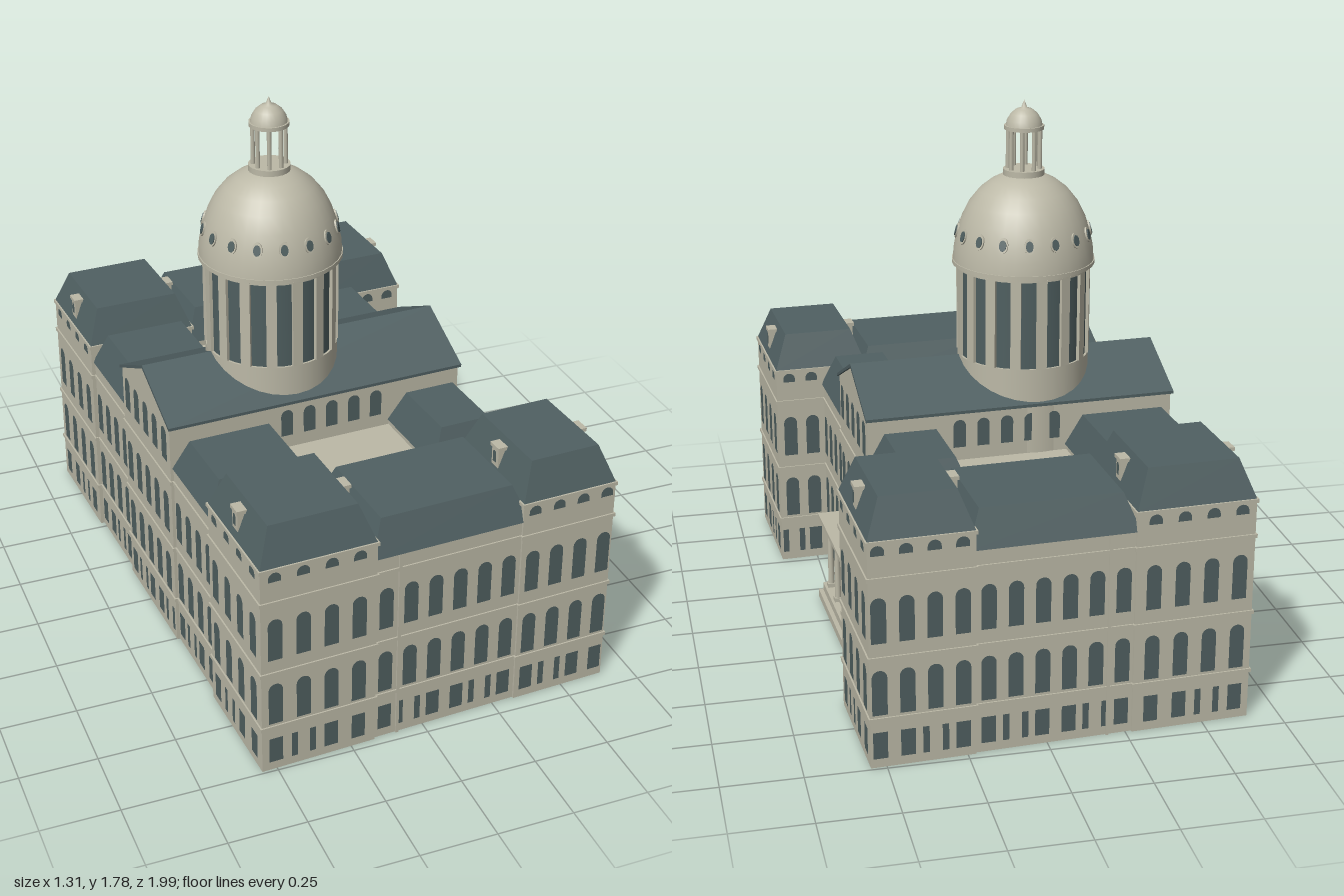
import * as THREE from 'three';
import { mergeGeometries } from 'three/addons/utils/BufferGeometryUtils.js';

const mat = (name, color, side = THREE.FrontSide) => {
  const m = new THREE.MeshStandardMaterial({ color, side });
  m.name = name;
  return m;
};

export function createModel() {
  const stone = mat('stone', 0xbcb9a7);
  const slate = mat('slate', 0x506062);
  const glass = mat('glass', 0x4f5f60, THREE.DoubleSide);
  const model = new THREE.Group();
  const building = new THREE.Group();
  building.name = 'building';
  building.rotation.y = 0.0523;
  model.add(building);

  const add = (name, geo, material) => {
    const m = new THREE.Mesh(geo, material);
    m.name = name;
    building.add(m);
    return m;
  };
  // box given by its limits
  const box = (x0, x1, y0, y1, z0, z1) =>
    new THREE.BoxGeometry(x1 - x0, y1 - y0, z1 - z0).translate((x0 + x1) / 2, (y0 + y1) / 2, (z0 + z1) / 2);
  // hipped roof with a flat top
  const hip = (x0, x1, y0, y1, z0, z1, inset) => {
    const g = box(x0, x1, y0, y1, z0, z1), p = g.attributes.position;
    const cx = (x0 + x1) / 2, cz = (z0 + z1) / 2;
    for (let i = 0; i < p.count; i++) {
      if (p.getY(i) < y1 - 1e-4) continue;
      p.setX(i, p.getX(i) - Math.sign(p.getX(i) - cx) * inset);
      p.setZ(i, p.getZ(i) - Math.sign(p.getZ(i) - cz) * inset);
    }
    g.computeVertexNormals();
    return g;
  };
  const row = (start, step, n) => Array.from({ length: n }, (_, i) => start + step * i);

  // window panes: u runs along the wall, off is the wall's distance from the centre
  const panes = [];
  const pane = (angle, off, u, y0, y1, w, arched = true) => {
    const s = new THREE.Shape(), r = w / 2;
    s.moveTo(-r, y0);
    s.lineTo(r, y0);
    if (arched) {
      s.lineTo(r, y1 - r);
      s.absarc(0, y1 - r, r, 0, Math.PI, false);
    } else {
      s.lineTo(r, y1);
      s.lineTo(-r, y1);
    }
    panes.push(new THREE.ShapeGeometry(s, 5).translate(u, 0, off + 0.002).rotateY(angle));
  };
  const facade = (angle, off, list, attic) => list.forEach((u, i) => {
    if (i % 3 === 1) for (const d of [-0.03, 0.03]) pane(angle, off, u + d, 0.03, 0.118, 0.02, false);
    else pane(angle, off, u, 0.03, 0.118, 0.045, false);
    pane(angle, off, u, 0.175, 0.322, 0.047);
    pane(angle, off, u, 0.41, 0.557, 0.047);
    if (attic) pane(angle, off, u, 0.69, 0.722, 0.042);
  });
  const E = Math.PI / 2, W = -E;

  // a block of wall with its string courses
  const block = (name, x0, x1, h, z0, z1, courses) => {
    const parts = [box(x0, x1, 0, h, z0, z1)];
    for (const y of courses)
      parts.push(box(x0 - 0.005, x1 + 0.005, y - 0.006, y + 0.006, z0 - 0.005, z1 + 0.005));
    add(name, mergeGeometries(parts), stone);
  };
  const span = (s, a, b) => (s > 0 ? [a, b] : [-b, -a]);

  for (const s of [1, -1]) {
    const face = s > 0 ? 0 : Math.PI;
    const along = (list) => list.map((u) => u * s);
    // corner pavilions with mansard roofs
    const [p0, p1] = span(s, 0.557, 0.962);
    for (const [x0, x1] of [[-0.6, -0.22], [0.275, 0.6]]) {
      block('cornerPavilion', x0, x1, 0.73, p0, p1, [0.16, 0.36, 0.615, 0.73]);
      add('pavilionRoof', hip(x0, x1, 0.735, 0.855, p0, p1, 0.045), slate);
      // dormers on the two side slopes
      for (const [e, d] of [[x0, -1], [x1, 1]]) {
        const z = s * 0.758, x = e - d * 0.03;
        add('dormer', mergeGeometries([
          box(x - 0.022, x + 0.022, 0.76, 0.825, z - 0.02, z + 0.02),
          box(x - 0.026, x + 0.026, 0.822, 0.834, z - 0.026, z + 0.026),
        ]), stone);
        pane(d * E, d * x + 0.022, -d * z, 0.775, 0.815, 0.02);
      }
    }
    facade(face, 0.962, along(row(-0.554, 0.092, 4)), true);
    facade(face, 0.962, along(row(0.315, 0.085, 4)), true);
    // end range between the pavilions
    const [m0, m1] = span(s, 0.557, 0.955);
    block('endRange', -0.23, 0.285, 0.67, m0, m1, [0.16, 0.36, 0.615]);
    add('endRangeRoof', hip(-0.235, 0.3, 0.67, 0.785, ...span(s, 0.555, 0.962), 0.045), slate);
    facade(face, 0.955, along(row(-0.185, 0.084, 6)), false);
    add('pilaster', box(-0.146, -0.136, 0, 0.67, ...span(s, 0.95, 0.961)), stone);
    // pavilion sides and returns
    for (const [a, d] of [[E, 1], [W, -1]])
      facade(a, 0.6, row(0.61, 0.099, 4).map((z) => -d * s * z), true);
    facade(s > 0 ? Math.PI : 0, -0.557, [0.475, 0.555].map((x) => -s * x), true);
    // side wings
    const [w0, w1] = span(s, 0.2, 0.57);
    const [r0, r1] = span(s, 0.225, 0.565);
    for (const [x0, x1] of [[-0.587, -0.235], [0.18, 0.43]]) {
      block('sideWing', x0, x1, 0.67, w0, w1, [0.16, 0.36, 0.615]);
      add('sideWingRoof', hip(x0 - 0.005, x1 + 0.006, 0.67, 0.785, r0, r1, 0.045), slate);
    }
    for (const [a, off, d] of [[E, 0.43, 1], [W, 0.587, -1]])
      facade(a, off, row(0.26, 0.087, 4).map((z) => -d * s * z), false);
    // upper windows of the central range above the court
    for (const x of row(-0.19, 0.08, 5)) pane(face, 0.222, s * x, 0.695, 0.79, 0.042);
    add('courtRoof', box(-0.24, 0.19, 0, 0.65, ...span(s, 0.2, 0.57)), stone);
  }

  // central range with gabled ends
  const gable = (half, base, eave, peak, x0, x1) => {
    const s = new THREE.Shape();
    s.moveTo(-half, base);
    s.lineTo(half, base);
    s.lineTo(half, eave);
    s.lineTo(0, peak);
    s.lineTo(-half, eave);
    s.closePath();
    return new THREE.ExtrudeGeometry(s, { depth: x1 - x0, bevelEnabled: false }).rotateY(E).translate(x0, 0, 0);
  };
  add('centralRange', gable(0.222, 0, 0.82, 0.925, -0.597, 0.436), stone);
  for (const s of [1, -1]) {
    const slope = new THREE.Shape();
    [[0, 0.925], [s * 0.234, 0.814], [s * 0.234, 0.824], [0, 0.937]].forEach(([x, y], i) =>
      i ? slope.lineTo(x, y) : slope.moveTo(x, y));
    slope.closePath();
    add('centralRoof', new THREE.ExtrudeGeometry(slope, { depth: 1.046, bevelEnabled: false })
      .rotateY(E).translate(-0.603, 0, 0), slate);
  }
  for (const y of [0.16, 0.36, 0.615])
    add('centralCourse', box(-0.602, 0.441, y - 0.006, y + 0.006, -0.227, 0.227), stone);
  for (const [a, off] of [[E, 0.436], [W, 0.597]]) {
    const list = row(-0.173, 0.0865, 5);
    facade(a, off, list, false);
    list.forEach((u) => pane(a, off, u, 0.68, 0.8, 0.047));
  }

  // entrance porch
  add('porchStep', box(0.43, 0.53, 0, 0.028, -0.222, 0.222), stone);
  add('porchFloor', box(0.43, 0.515, 0.028, 0.056, -0.212, 0.212), stone);
  add('porchBeam', box(0.43, 0.505, 0.285, 0.305, -0.205, 0.205), stone);
  add('porchRoof', box(0.43, 0.525, 0.303, 0.318, -0.222, 0.222), stone);
  for (const z of [-0.177, -0.059, 0.059, 0.177]) {
    add('porchColumn', new THREE.CylinderGeometry(0.009, 0.011, 0.23, 12).translate(0.492, 0.17, z), stone);
    add('columnBase', box(0.478, 0.506, 0.056, 0.07, z - 0.014, z + 0.014), stone);
    add('columnCapital', box(0.478, 0.506, 0.272, 0.285, z - 0.014, z + 0.014), stone);
  }
  add('windowPanes', mergeGeometries(panes), glass);

  // drum and dome
  const cx = -0.145, cz = -0.008;
  const cyl = (name, r0, r1, y0, y1, m, n = 32) =>
    add(name, new THREE.CylinderGeometry(r1, r0, y1 - y0, n).translate(cx, (y0 + y1) / 2, cz), m);
  cyl('drumBase', 0.219, 0.219, 0.62, 0.94, stone);
  cyl('drumGlass', 0.212, 0.212, 0.94, 1.235, glass);
  cyl('drumCornice', 0.222, 0.222, 1.235, 1.25, stone);
  cyl('domeLedge', 0.236, 0.236, 1.247, 1.26, stone);
  const lathe = (name, pts, n = 32) => add(name, new THREE.LatheGeometry(
    pts.map(([r, y]) => new THREE.Vector2(r, y)), n).translate(cx, 0, cz), stone);
  lathe('dome', [[0.233, 1.258], [0.23, 1.3], [0.219, 1.35], [0.203, 1.4], [0.178, 1.45],
    [0.146, 1.49], [0.108, 1.52], [0.065, 1.542], [0, 1.548]]);
  for (let i = 0; i < 16; i++) {
    const a = (i * Math.PI) / 8, b = a + Math.PI / 16;
    add('drumPilaster', new THREE.BoxGeometry(0.034, 0.3, 0.02).translate(0, 1.09, 0.211)
      .rotateY(a).translate(cx, 0, cz), stone);
    // oval dome window in a raised rim
    for (const [name, r, d, m] of [['domeWindowRim', 0.017, 0.001, stone], ['domeWindow', 0.012, 0.004, glass]])
      add(name, new THREE.CylinderGeometry(r, r, 0.006, 14).rotateX(E).scale(1, 1.5, 1).rotateX(-0.26)
        .translate(0, 1.355, 0.217 + d).rotateY(b).translate(cx, 0, cz), m);
  }

  // lantern
  cyl('lanternBase', 0.068, 0.068, 1.535, 1.56, stone, 24);
  for (let i = 0; i < 8; i++) {
    const a = ((i + 0.5) * Math.PI) / 4;
    add('lanternColumn', new THREE.CylinderGeometry(0.0075, 0.0075, 0.135, 8)
      .translate(cx + 0.052 * Math.sin(a), 1.626, cz + 0.052 * Math.cos(a)), stone);
  }
  cyl('lanternCornice', 0.065, 0.065, 1.69, 1.703, stone, 24);
  lathe('lanternDome', [[0.06, 1.7], [0.056, 1.72], [0.044, 1.74], [0.026, 1.755], [0.01, 1.76],
    [0.006, 1.77], [0, 1.785]], 24);
  return model;
}
